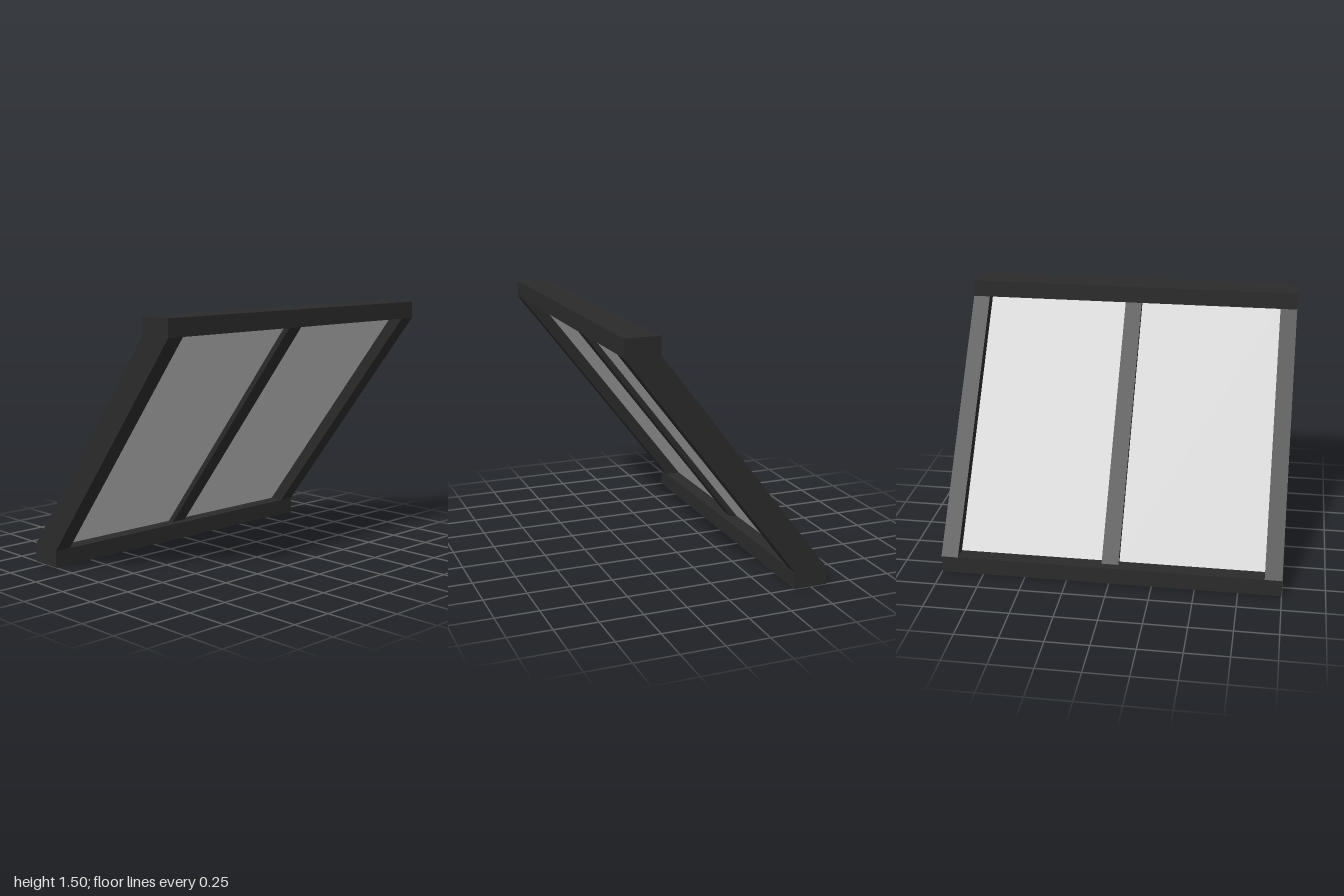
import * as THREE from 'three';

const RAIL_H = 0.1, RAIL_D = 0.2, HEIGHT = 1.5, OFFSET = 0.5;

export function createModel() {
  const model = new THREE.Group();
  model.name = 'slantedWindow';
  const frame = new THREE.MeshStandardMaterial({ color: 0x2b2b2b, flatShading: true });
  const glass = new THREE.MeshStandardMaterial({ color: 0xcccccc, flatShading: true });

  function add(name, geometry, material, x, y, z) {
    const mesh = new THREE.Mesh(geometry, material);
    mesh.name = name;
    mesh.position.set(x, y, z);
    model.add(mesh);
  }

  // Slanted slab between the rails: depth along z, width along x
  function slanted(name, x, width, depth, material) {
    const y0 = RAIL_H, y1 = HEIGHT - RAIL_H, d = depth / 2;
    const profile = new THREE.Shape([
      new THREE.Vector2(-OFFSET - d, y0),
      new THREE.Vector2(-OFFSET + d, y0),
      new THREE.Vector2(OFFSET + d, y1),
      new THREE.Vector2(OFFSET - d, y1),
    ]);
    const geometry = new THREE.ExtrudeGeometry(profile, { depth: width, bevelEnabled: false });
    geometry.translate(0, 0, -width / 2);
    geometry.rotateY(-Math.PI / 2);
    add(name, geometry, material, x, 0, 0);
  }

  // Horizontal rails: the bottom one at the back, the top one at the front
  const rail = new THREE.BoxGeometry(2, RAIL_H, RAIL_D);
  add('bottomRail', rail, frame, 0, RAIL_H / 2, -OFFSET);
  add('topRail', rail, frame, 0, HEIGHT - RAIL_H / 2, OFFSET);

  // Side posts and glass panes, mirrored
  for (const [side, s] of [['left', 1], ['right', -1]]) {
    slanted(side + 'Post', s * 0.95, 0.1, RAIL_D, frame);
    slanted(side + 'Pane', s * 0.475, 0.85, 0.02, glass);
  }

  // Thinner bar between the panes
  slanted('centreBar', 0, 0.1, 0.1, frame);

  return model;
}
